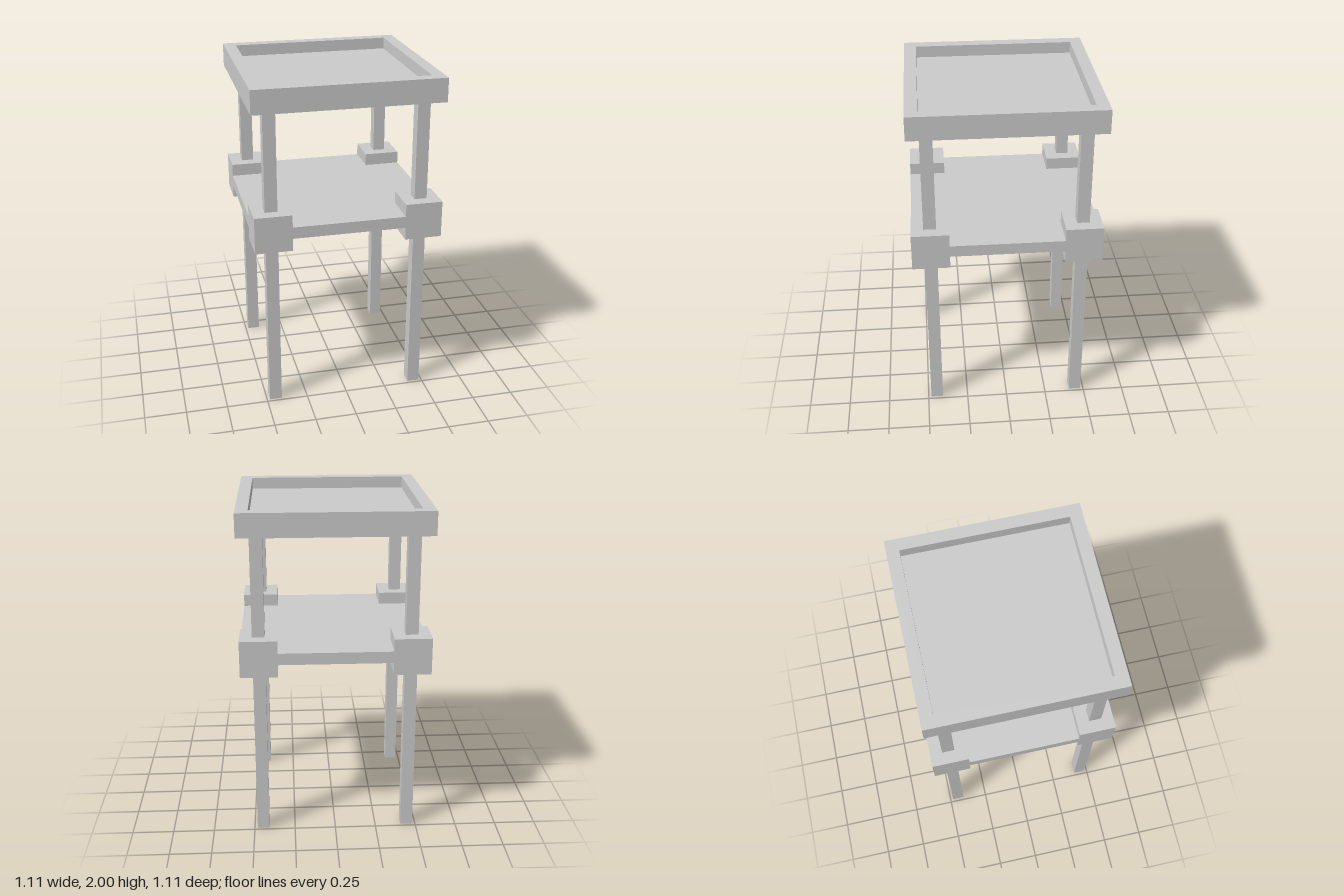
import * as THREE from 'three';

const material = new THREE.MeshStandardMaterial({ color: 0xcccccc });

const HALF = 0.555;     // half width of the whole stand
const INNER = 0.482;    // half width of the tray recess
const LEG = 0.074;      // leg thickness
const BLOCK = 0.22;     // corner block size
const CORNER = HALF - BLOCK / 2;

function addMesh(parent, name, geometry, x, y, z) {
  const mesh = new THREE.Mesh(geometry, material);
  mesh.name = name;
  mesh.position.set(x, y, z);
  parent.add(mesh);
  return mesh;
}

function addBox(parent, name, [w, h, d], x, y, z) {
  return addMesh(parent, name, new THREE.BoxGeometry(w, h, d), x, y, z);
}

function square(Type, r) {
  return new Type([[-r, -r], [r, -r], [r, r], [-r, r]].map(([x, y]) => new THREE.Vector2(x, y)));
}

// Horizontal slab with its underside at y = 0
function slab(shape, height) {
  return new THREE.ExtrudeGeometry(shape, { depth: height, bevelEnabled: false }).rotateX(-Math.PI / 2);
}

export function createModel() {
  const model = new THREE.Group();
  model.name = 'plantStand';

  // Tray: raised rim around a recessed floor
  const tray = new THREE.Group();
  tray.name = 'tray';
  model.add(tray);
  const rim = square(THREE.Shape, HALF);
  rim.holes.push(square(THREE.Path, INNER));
  addMesh(tray, 'trayRim', slab(rim, 0.14), 0, 1.86, 0);
  addBox(tray, 'trayFloor', [INNER * 2, 0.07, INNER * 2], 0, 1.895, 0);

  // Shelf, notched at the corners to fit between the blocks
  const n = HALF - BLOCK;
  const outline = [
    [-n, -HALF], [n, -HALF], [n, -n], [HALF, -n], [HALF, n], [n, n],
    [n, HALF], [-n, HALF], [-n, n], [-HALF, n], [-HALF, -n], [-n, -n],
  ].map(([x, y]) => new THREE.Vector2(x, y));
  addMesh(model, 'shelf', slab(new THREE.Shape(outline), 0.07), 0, 1.115, 0);

  // Four legs, each with a corner block holding the shelf
  for (const [sx, xName] of [[1, 'Left'], [-1, 'Right']]) {
    for (const [sz, zName] of [[1, 'front'], [-1, 'back']]) {
      const x = sx * CORNER, z = sz * CORNER;
      addBox(model, `${zName}${xName}Leg`, [LEG, 1.86, LEG], x, 0.93, z);
      addBox(model, `${zName}${xName}Block`, [BLOCK, BLOCK, BLOCK], x, 1.15, z);
    }
  }
  return model;
}
